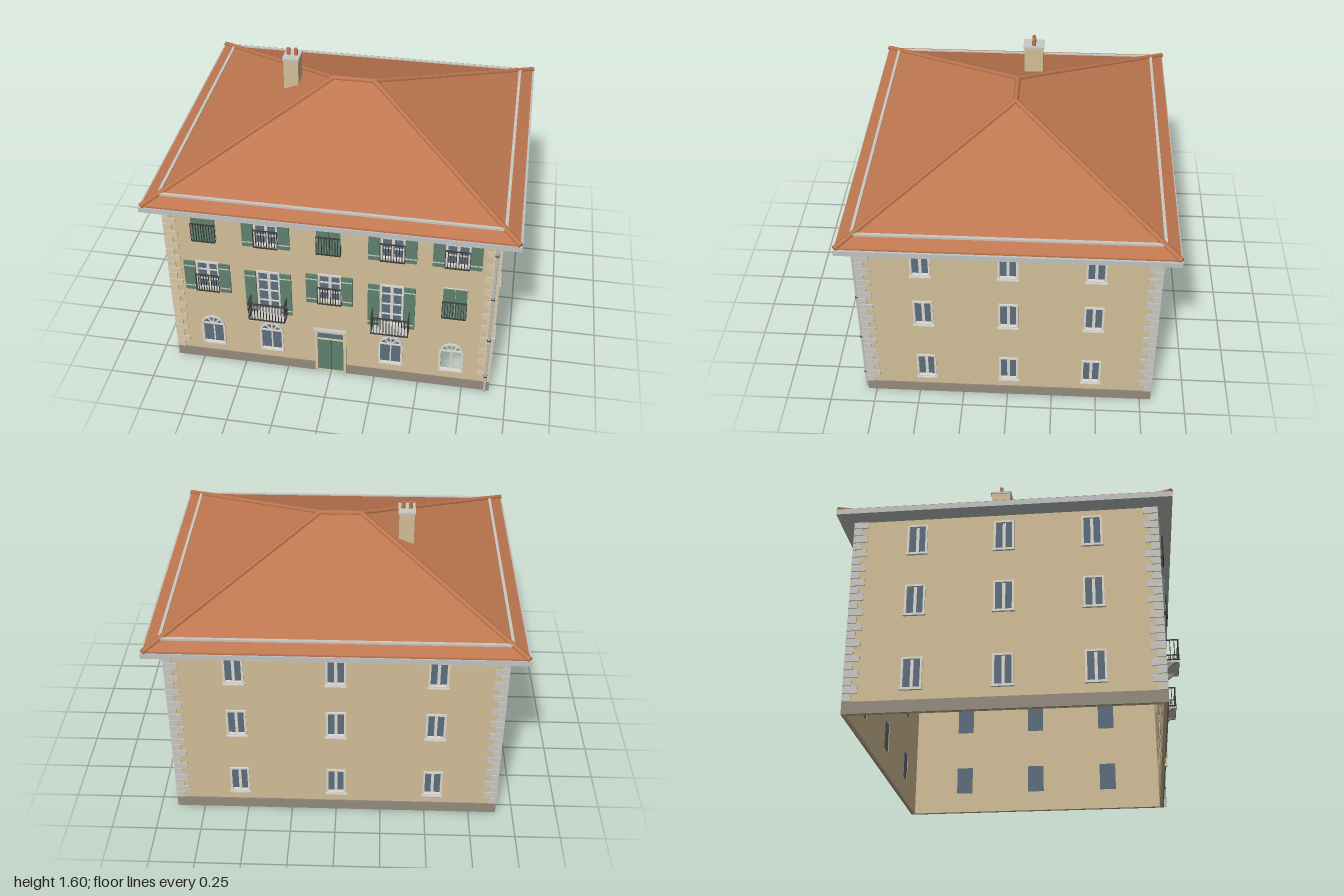
import * as THREE from 'three';

const mat = (name, color, side = THREE.FrontSide) => {
  const m = new THREE.MeshStandardMaterial({ color, side });
  m.name = name;
  return m;
};
const M = {
  wall: mat('plaster', 0xd2bf98),
  plinth: mat('plinth stone', 0x948b7e),
  quoin: mat('grey stone', 0xcac8c2),
  warm: mat('warm stone', 0xd8c9a8),
  roof: mat('roof tile', 0xc07850, THREE.DoubleSide),
  frame: mat('frame white', 0xdcdad2),
  glass: mat('window glass', 0x5d6e7e),
  green: mat('shutter green', 0x5f806d),
  iron: mat('iron', 0x3e3d3c),
  metal: mat('gutter metal', 0xc2c4c4),
};

function mesh(parent, name, geo, material, x = 0, y = 0, z = 0) {
  const m = new THREE.Mesh(geo, material);
  m.name = name;
  m.position.set(x, y, z);
  parent.add(m);
  return m;
}
const box = (p, name, material, w, h, d, x, y, z) =>
  mesh(p, name, new THREE.BoxGeometry(w, h, d), material, x, y, z);

function group(parent, name, x = 0, y = 0, z = 0) {
  const g = new THREE.Group();
  g.name = name;
  g.position.set(x, y, z);
  parent.add(g);
  return g;
}

// Opening outline: rectangle, or with a round head; y is its bottom edge
function outline(Type, x, y, w, h, arch) {
  const s = new Type(), r = w / 2;
  s.moveTo(x - r, y);
  s.lineTo(x + r, y);
  if (arch) {
    s.lineTo(x + r, y + h - r);
    s.absarc(x, y + h - r, r, 0, Math.PI, false);
  } else {
    s.lineTo(x + r, y + h);
    s.lineTo(x - r, y + h);
  }
  s.closePath();
  return s;
}
const extrude = (shape, depth) =>
  new THREE.ExtrudeGeometry(shape, { depth, bevelEnabled: false, curveSegments: 14 });

const T = 0.02, TOP = 1.1, BASE = 0.065;

// Frame, glass and bars; z = 0 is the outer wall face
function windowUnit(parent, o) {
  const { x, y, w, h, arch, glazed = true, bars = 1 } = o;
  const g = group(parent, 'window', x, y, 0), b = 0.011;
  const ring = outline(THREE.Shape, 0, 0, w, h, arch);
  ring.holes.push(outline(THREE.Path, 0, b, w - 2 * b, h - 2 * b, arch));
  mesh(g, 'window frame', extrude(ring, 0.022), M.frame, 0, 0, -0.014);
  if (glazed) mesh(g, 'glass', extrude(outline(THREE.Shape, 0, 0.003, w - 0.006, h - 0.006, arch), 0.005), M.glass, 0, 0, -0.017);
  const rise = arch ? h - w / 2 : h;
  box(g, 'mullion', M.frame, arch ? 0.008 : 0.016, h - b, 0.008, 0, h / 2, -0.008);
  if (arch) {
    box(g, 'transom', M.frame, w - b, 0.008, 0.008, 0, rise, -0.008);
    for (const s of [-1, 1]) {
      const bar = box(g, 'fan bar', M.frame, 0.006, w / 2, 0.008, s * w * 0.18, rise + w * 0.18, -0.008);
      bar.rotation.z = -s * Math.PI / 4;
    }
  } else for (let i = 1; i < bars; i++)
    box(g, 'glazing bar', M.frame, w - b, 0.006, 0.007, 0, h * i / bars, -0.008);
  return g;
}

// Row of upright rods between two rails
function railing(parent, w, h, n, x, y, z) {
  const g = group(parent, 'railing', x, y, z);
  for (const e of [0, h]) box(g, 'rail', M.iron, w, 0.006, 0.006, 0, e, 0);
  for (let i = 0; i <= n; i++) box(g, 'rod', M.iron, 0.004, h, 0.004, (i / n - 0.5) * w, h / 2, 0);
  return g;
}

function shutters(g, w, h, closed) {
  for (const s of [-1, 1]) {
    const cx = s * (closed ? w / 4 : w * 0.75), lw = w / 2 - 0.002;
    box(g, 'shutter', M.green, lw, h, 0.01, cx, h / 2, 0.014);
    if (!closed) for (const y of [0.03, h - 0.03])
      box(g, 'shutter strap', M.quoin, lw, 0.006, 0.003, cx, y, 0.02);
  }
}

function balcony(parent, x) {
  const g = group(parent, 'balcony', x, 0.415, 0), w = 0.2, d = 0.09;
  box(g, 'balcony floor', M.quoin, w, 0.012, d, 0, 0, d / 2);
  railing(g, w, 0.115, 12, 0, 0.01, d);
  for (const s of [-1, 1]) {
    railing(g, d, 0.115, 4, s * w / 2, 0.01, d / 2).rotation.y = Math.PI / 2;
    // Curved bracket, drawn in depth and height then turned sideways
    const b = new THREE.Shape();
    b.moveTo(0, 0);
    b.lineTo(0, -0.075);
    b.quadraticCurveTo(0.025, -0.03, 0.075, 0);
    b.closePath();
    mesh(g, 'bracket', extrude(b, 0.016), M.plinth, s * 0.081 - 0.008, -0.006, 0).rotation.y = -Math.PI / 2;
  }
}

// One facade in local coordinates with its openings, plinth and corner stones
function facade(root, name, width, wallWidth, openings, stone, x, z, turn) {
  const g = group(root, name, x, 0, z);
  g.rotation.y = turn;
  const s = outline(THREE.Shape, 0, 0, wallWidth, TOP + 0.01);
  for (const o of openings) s.holes.push(outline(THREE.Path, o.x, o.y + 0.003, o.w - 0.008, o.h - 0.006, o.arch));
  mesh(g, 'wall', extrude(s, T), M.wall, 0, 0, -T);
  const n = 24, ch = (TOP - BASE) / n;
  for (const e of [-1, 1]) for (let i = 0; i < n; i++) {
    const l = i % 2 ? 0.075 : 0.045;
    box(g, 'corner stone', stone, l, ch - 0.004, 0.007, e * (width / 2 - l / 2 + 0.005), BASE + (i + 0.5) * ch, 0.0025);
  }
  return g;
}

export function createModel() {
  const model = new THREE.Group();
  model.name = 'townhouse';
  const house = group(model, 'house', 0, 0, -0.007);
  const X = 0.9, Z = 0.8;

  // Plain facades: three by three windows
  const grid = (dx) => [-dx, 0, dx].flatMap(x => [0.12, 0.53, 0.885].map(y => ({ x, y, w: 0.108, h: 0.175 })));
  const plain = [
    ['left side', 2 * Z, 2 * Z - 2 * T, 0.46, X, 0, Math.PI / 2],
    ['right side', 2 * Z, 2 * Z - 2 * T, 0.46, -X, 0, -Math.PI / 2],
    ['back', 2 * X, 2 * X, 0.54, 0, -Z, Math.PI],
  ];
  for (const [name, w, ww, dx, x, z, turn] of plain) {
    const list = grid(dx);
    const g = facade(house, name, w, ww, list, M.quoin, x, z, turn);
    for (const o of list) {
      const u = windowUnit(g, o);
      box(u, 'sill', M.frame, 0.116, 0.008, 0.016, 0, 0, 0.006);
    }
    box(g, 'plinth', M.plinth, w + 0.01, BASE, 0.008, 0, BASE / 2, 0.001);
  }

  // Front facade: arched ground floor, shuttered upper floors
  const cols = [-0.68, -0.34, 0, 0.34, 0.68];
  const front = [];
  cols.forEach((x, i) => {
    const french = i === 1 || i === 3;
    if (i !== 2) front.push({ x, y: 0.115, w: 0.136, h: 0.215, arch: true, glazed: i !== 4 });
    front.push(french
      ? { x, y: 0.418, w: 0.13, h: 0.292, bars: 4, kind: 'french' }
      : { x, y: 0.535, w: 0.13, h: 0.2, bars: 3, kind: i === 4 ? 'closed' : 'open' });
    front.push({ x, y: 0.888, w: 0.13, h: 0.2, bars: 3, kind: i === 0 || i === 2 ? 'closed' : 'open' });
  });
  const doorway = { x: 0, y: 0, w: 0.16, h: 0.31 };
  const f = facade(house, 'front', 2 * X, 2 * X, [...front, doorway], M.warm, 0, Z, 0);
  for (const o of front) {
    const u = windowUnit(f, o);
    if (!o.kind) continue;
    shutters(u, o.w, o.h, o.kind === 'closed');
    if (o.kind === 'french') balcony(f, o.x);
    else railing(u, 0.13, 0.115, 9, 0, 0.006, 0.028);
  }
  for (const s of [-1, 1]) box(f, 'plinth', M.plinth, X - 0.085, BASE, 0.008, s * (X + 0.095) / 2, BASE / 2, 0.001);

  // Entrance door
  const door = group(f, 'entrance');
  box(door, 'door leaf', M.green, 0.15, 0.242, 0.01, 0, 0.121, -0.012);
  box(door, 'door seam', M.iron, 0.003, 0.235, 0.003, 0, 0.12, -0.007);
  box(door, 'door transom', M.warm, 0.15, 0.008, 0.014, 0, 0.245, -0.008);
  box(door, 'transom glass', M.glass, 0.15, 0.065, 0.008, 0, 0.279, -0.012);
  for (const s of [-1, 1]) box(door, 'door jamb', M.warm, 0.015, 0.32, 0.03, s * 0.081, 0.16, -0.002);
  box(door, 'door head', M.warm, 0.18, 0.016, 0.03, 0, 0.316, 0);
  box(door, 'door cornice', M.quoin, 0.19, 0.008, 0.04, 0, 0.328, 0.004);

  // Downpipe with clips
  mesh(f, 'downpipe', new THREE.CylinderGeometry(0.008, 0.008, TOP, 10), M.metal, 0.88, TOP / 2, 0.015);
  for (const y of [0.12, 0.4, 0.7, 1]) box(f, 'pipe clip', M.iron, 0.02, 0.006, 0.02, 0.88, y, 0.014);

  // Gutter and soffit ring
  const ring = outline(THREE.Shape, 0, -0.882, 2, 1.764);
  ring.holes.push(outline(THREE.Path, 0, -Z + T, 2 * (X - T), 2 * (Z - T)));
  mesh(house, 'gutter', extrude(ring, 0.03), M.metal, 0, 1.095, 0).rotation.x = -Math.PI / 2;

  // Hipped roof
  const ex = 0.988, ez = 0.876, ey = 1.132, ry = 1.48, rx = 0.115;
  const A = [-ex, ey, ez], B = [ex, ey, ez], C = [ex, ey, -ez], D = [-ex, ey, -ez];
  const R = [rx, ry, 0], L = [-rx, ry, 0];
  const faces = [A, B, R, A, R, L, B, C, R, C, D, L, C, L, R, D, A, L];
  const geo = new THREE.BufferGeometry();
  geo.setAttribute('position', new THREE.Float32BufferAttribute(faces.flat(), 3));
  geo.computeVertexNormals();
  mesh(house, 'roof', geo, M.roof);
  for (const s of [-1, 1]) {
    box(house, 'eave tiles', M.roof, 2 * ex, 0.012, 0.012, 0, ey - 0.004, s * (ez - 0.006));
    box(house, 'eave tiles', M.roof, 0.012, 0.012, 2 * ez, s * (ex - 0.006), ey - 0.004, 0);
    // Snow guards
    box(house, 'snow guard', M.quoin, 1.82, 0.012, 0.016, 0, 1.166, s * 0.8);
    box(house, 'snow guard', M.quoin, 0.016, 0.012, 1.6, s * 0.91, 1.166, 0);
  }
  // Ridge and hip caps
  for (const [p, q] of [[A, L], [D, L], [B, R], [C, R], [L, R]]) {
    const a = new THREE.Vector3(...p), b = new THREE.Vector3(...q), dir = b.clone().sub(a);
    const cap = mesh(house, 'ridge cap', new THREE.CylinderGeometry(0.015, 0.015, dir.length(), 8), M.roof);
    cap.position.copy(a).add(b).multiplyScalar(0.5);
    cap.quaternion.setFromUnitVectors(new THREE.Vector3(0, 1, 0), dir.normalize());
  }

  // Chimney
  const ch = group(house, 'chimney', -0.365, 0, -0.08);
  box(ch, 'chimney stack', M.wall, 0.084, 0.2, 0.108, 0, 1.45, 0);
  box(ch, 'chimney cap', M.quoin, 0.094, 0.012, 0.12, 0, 1.555, 0);
  for (const s of [-1, 1])
    mesh(ch, 'chimney pot', new THREE.CylinderGeometry(0.01, 0.012, 0.04, 10), M.roof, s * 0.021, 1.58, 0);

  return model;
}
